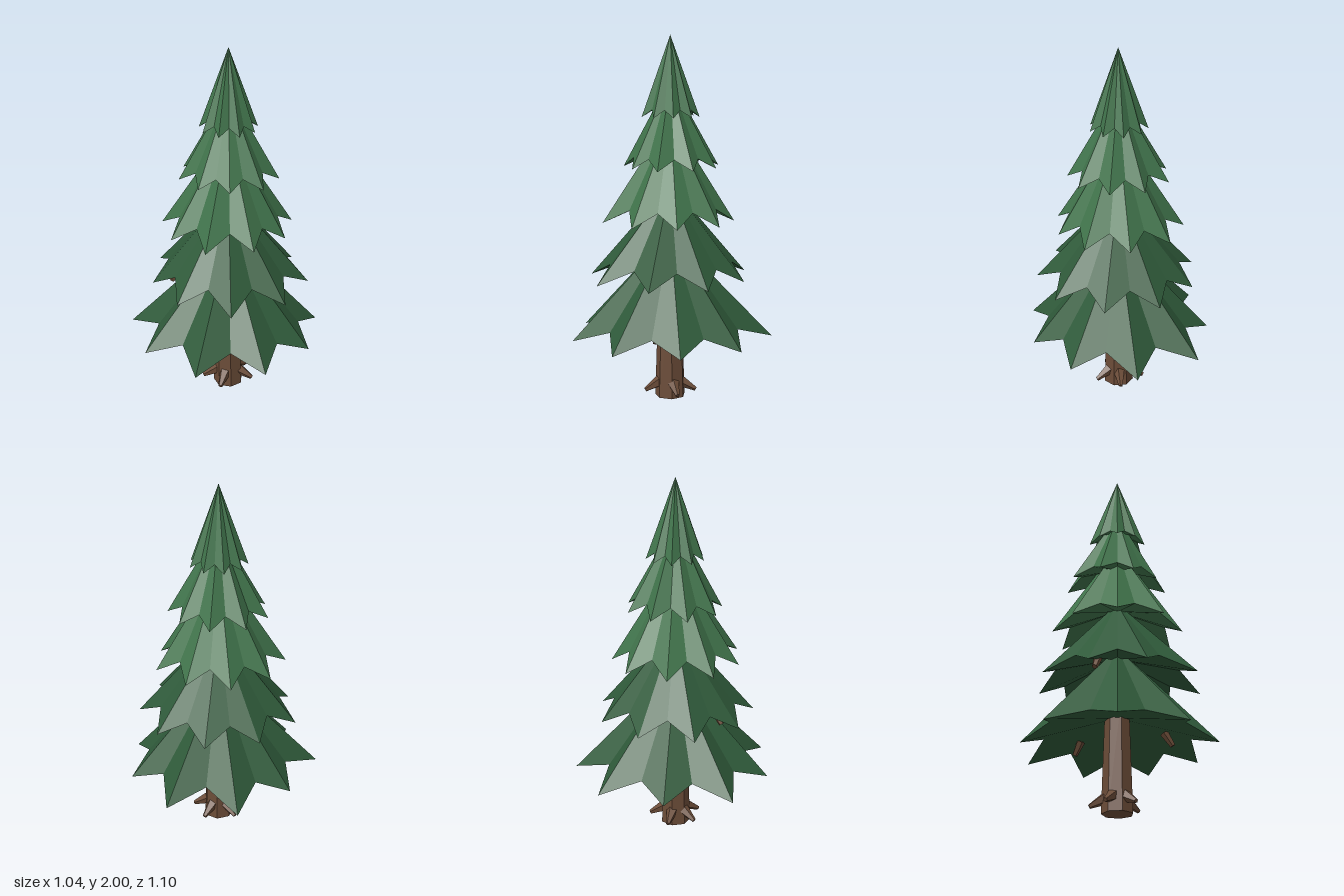
import * as THREE from 'three';

const CX = 0.01; // trunk axis
const STEP = Math.PI / 9;

const mat = (name, color) => {
  const m = new THREE.MeshStandardMaterial({ color, flatShading: true });
  m.name = name;
  return m;
};

// Star-shaped cone: 9 drooping tips with notches between, closed by a shallow hollow underside
function tierGeometry({ apex, under, tipY, notchY, notchR, tips, offset }) {
  const ring = [];
  for (let i = 0; i < 18; i++) {
    const isTip = i % 2 === 0;
    const a = offset + i * STEP;
    const r = isTip ? tips[(i / 2) % tips.length] : notchR;
    ring.push([r * Math.cos(a), isTip ? tipY : notchY, -r * Math.sin(a)]);
  }
  const pos = [];
  ring.forEach((p, i) => {
    const q = ring[(i + 1) % ring.length];
    pos.push(0, apex, 0, ...p, ...q);
    pos.push(0, under, 0, ...q, ...p);
  });
  const g = new THREE.BufferGeometry();
  g.setAttribute('position', new THREE.Float32BufferAttribute(pos, 3));
  g.computeVertexNormals();
  return g;
}

// Tapered stub running between two points
function stub(name, from, to, r0, r1, material) {
  const a = new THREE.Vector3(...from), b = new THREE.Vector3(...to);
  const dir = b.clone().sub(a);
  const mesh = new THREE.Mesh(new THREE.CylinderGeometry(r1, r0, dir.length(), 5), material);
  mesh.position.copy(a).add(b).multiplyScalar(0.5);
  mesh.quaternion.setFromUnitVectors(new THREE.Vector3(0, 1, 0), dir.normalize());
  mesh.name = name;
  return mesh;
}

export function createModel() {
  const tree = new THREE.Group();
  tree.name = 'pineTree';
  const darkGreen = mat('darkNeedles', 0x2f5a3a);
  const lightGreen = mat('lightNeedles', 0x40734b);
  const bark = mat('bark', 0x6b4c38);

  // Foliage, bottom to top; alternate tiers are turned by half a step
  const tiers = [
    { apex: 0.93, under: 0.52, tipY: 0.355, notchY: 0.425, notchR: 0.4, offset: 0,
      tips: [0.506, 0.52, 0.564, 0.567, 0.511, 0.563, 0.538, 0.554, 0.537], material: darkGreen },
    { apex: 1.2, under: 0.86, tipY: 0.69, notchY: 0.77, notchR: 0.34, offset: STEP,
      tips: [0.447, 0.435, 0.437, 0.433, 0.45, 0.427, 0.44, 0.48, 0.457], material: darkGreen },
    { apex: 1.56, under: 1.15, tipY: 1.0, notchY: 1.075, notchR: 0.27, offset: 0,
      tips: [0.345, 0.36, 0.35, 0.36, 0.36, 0.37, 0.36, 0.38, 0.36], material: lightGreen },
    { apex: 1.77, under: 1.41, tipY: 1.295, notchY: 1.35, notchR: 0.205, offset: STEP,
      tips: [0.275, 0.27, 0.275, 0.285, 0.28, 0.27, 0.255, 0.25, 0.275], material: lightGreen },
    { apex: 2.0, under: 1.66, tipY: 1.565, notchY: 1.605, notchR: 0.12, offset: 0,
      tips: [0.158, 0.16, 0.158], material: lightGreen },
  ];
  tiers.forEach((t, i) => {
    const mesh = new THREE.Mesh(tierGeometry(t), t.material);
    mesh.position.x = CX;
    mesh.name = 'foliageTier' + (i + 1);
    tree.add(mesh);
  });

  // Seven-sided trunk
  const trunk = new THREE.Mesh(new THREE.CylinderGeometry(0.066, 0.085, 0.6, 7), bark);
  trunk.rotation.y = Math.PI / 2;
  trunk.position.set(CX, 0.3, 0);
  trunk.name = 'trunk';
  tree.add(trunk);

  // Root spurs
  [10, 75, 150, 215, 280].forEach((deg) => {
    const a = THREE.MathUtils.degToRad(deg), c = Math.cos(a), s = -Math.sin(a);
    tree.add(stub('root', [CX + 0.06 * c, 0.085, 0.06 * s],
      [CX + 0.145 * c, 0.04, 0.145 * s], 0.034, 0.012, bark));
  });

  // Broken twigs poking out under the foliage
  [[0.285, 0.4, 0.11], [-0.09, 0.4, -0.29], [-0.24, 0.71, 0.2]].forEach(([x, y, z]) => {
    tree.add(stub('twig', [x * 0.85, y + 0.05, z * 0.85], [x, y - 0.02, z], 0.024, 0.015, bark));
  });

  return tree;
}
